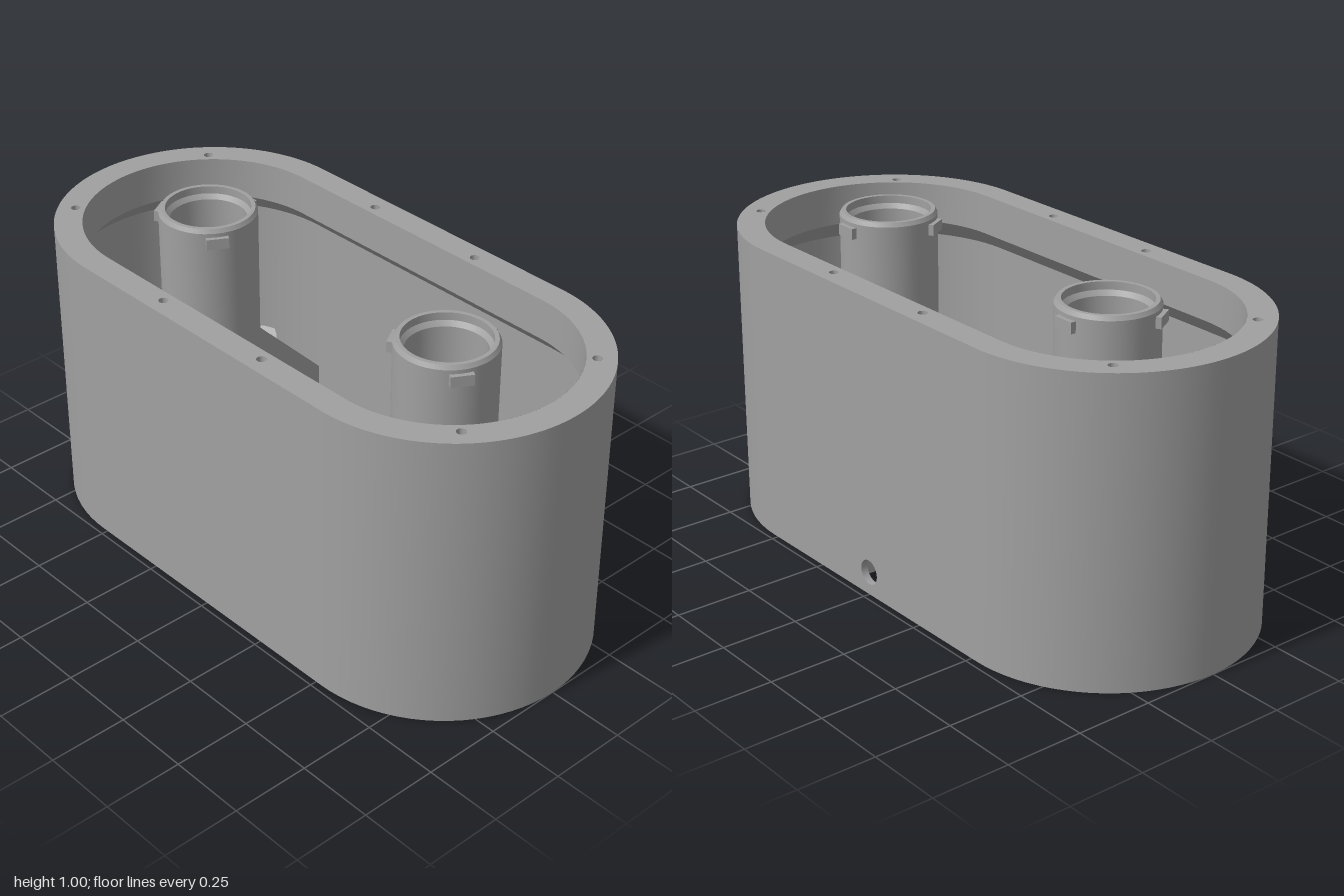
import * as THREE from 'three';
import { toCreasedNormals } from 'three/addons/utils/BufferGeometryUtils.js';

const CX = 0.522;      // centre of each rounded end
const R_OUT = 0.478;   // outer wall radius
const R_WALL = 0.455;  // inner wall radius
const R_LIP = 0.39;    // inner radius of the top rim
const TOP = 0.965;
const LIP_LOW = 0.835;
const WALL_TOP = 0.77;
const PORT_Y = 0.075;
const PORT_R = 0.04;

// Surface through rows of points; keep() may drop quads
function gridSurface(rows, keep = () => true) {
  const index = [];
  const n = rows[0].length;
  for (let r = 0; r < rows.length - 1; r++) {
    for (let i = 0; i < n - 1; i++) {
      if (!keep([rows[r][i], rows[r][i + 1], rows[r + 1][i], rows[r + 1][i + 1]])) continue;
      const a = r * n + i, b = a + n;
      index.push(a, b, a + 1, b, b + 1, a + 1);
    }
  }
  const geo = new THREE.BufferGeometry().setFromPoints(rows.flat());
  geo.setIndex(index);
  geo.computeVertexNormals();
  return geo;
}

// Stadium outline; it starts and ends at the back straight
function stadiumRing(r, y, closed) {
  const pts = [];
  for (const side of [1, -1]) {
    for (let i = 0; i <= 40; i++) {
      const a = -Math.PI / 2 + (Math.PI * i) / 40 + (side < 0 ? Math.PI : 0);
      pts.push(new THREE.Vector3(side * CX + r * Math.cos(a), y, r * Math.sin(a)));
    }
  }
  if (closed) pts.push(pts[0].clone());
  return pts;
}

function stadiumPath(path, r) {
  path.moveTo(-CX, -r);
  path.lineTo(CX, -r);
  path.absarc(CX, 0, r, -Math.PI / 2, Math.PI / 2, false);
  path.lineTo(-CX, r);
  path.absarc(-CX, 0, r, Math.PI / 2, Math.PI * 1.5, false);
  return path;
}

const lathe = (pts, seg) =>
  toCreasedNormals(new THREE.LatheGeometry(pts.map(([x, y]) => new THREE.Vector2(x, y)), seg), 0.5);

export function createModel() {
  const model = new THREE.Group();
  model.name = 'housing';
  const grey = new THREE.MeshStandardMaterial({ color: 0xa0a0a0, side: THREE.DoubleSide });
  grey.name = 'grey plastic';

  const add = (name, geo, parent = model) => {
    const mesh = new THREE.Mesh(geo, grey);
    mesh.name = name;
    parent.add(mesh);
    return mesh;
  };

  // Outer shell: strips between stadium rings [radius, height]
  const strip = (name, from, to, closed) =>
    add(name, gridSurface([stadiumRing(...from, closed), stadiumRing(...to, closed)]));
  strip('outerWall', [R_OUT, 0], [R_OUT, TOP], false);
  strip('rimInside', [R_LIP, TOP], [R_LIP, LIP_LOW], true);
  strip('rimChamfer', [R_LIP, LIP_LOW], [R_WALL, WALL_TOP], true);
  strip('innerWall', [R_WALL, WALL_TOP], [R_WALL, 0], false);
  strip('bottomEdge', [R_WALL, 0], [R_OUT, 0], true);

  // Flat back of the shell, pierced by the cable port
  for (const [name, z, h, turn] of [['backOutside', -R_OUT, TOP, Math.PI], ['backInside', -R_WALL, WALL_TOP, 0]]) {
    const shape = new THREE.Shape();
    shape.moveTo(-CX, 0);
    shape.lineTo(CX, 0);
    shape.lineTo(CX, h);
    shape.lineTo(-CX, h);
    shape.holes.push(new THREE.Path().absarc(0, PORT_Y, PORT_R, 0, Math.PI * 2, true));
    const panel = add(name, new THREE.ShapeGeometry(shape, 24));
    panel.rotation.y = turn;
    panel.position.z = z;
  }
  const port = add('cablePort', new THREE.CylinderGeometry(PORT_R, PORT_R, R_OUT - R_WALL, 32, 1, true));
  port.rotation.x = Math.PI / 2;
  port.position.set(0, PORT_Y, -(R_OUT + R_WALL) / 2);

  // Top rim with eight blind screw holes
  const rim = stadiumPath(new THREE.Shape(), R_OUT);
  rim.holes.push(stadiumPath(new THREE.Path(), R_LIP));
  for (const sx of [1, -1]) for (const sz of [1, -1]) {
    for (const [x, z] of [[0.217, 0.425], [0.845, 0.27]]) {
      rim.holes.push(new THREE.Path().absarc(sx * x, sz * z, 0.015, 0, Math.PI * 2, true));
      const hole = add('rimScrewHole', lathe([[0.015, 0.1], [0.015, 0], [0, 0]], 16));
      hole.position.set(sx * x, TOP - 0.1, sz * z);
    }
  }
  const rimTop = add('rimTop', new THREE.ShapeGeometry(rim, 40));
  rimTop.rotation.x = -Math.PI / 2;
  rimTop.position.y = TOP;

  // Shared shapes for the two ends
  const tubeGeo = lathe([[0.122, 0.015], [0.155, 0.015], [0.155, 0.987], [0.147, 1], [0.134, 1],
    [0.134, 0.975], [0.122, 0.96], [0.122, 0.015]], 48);
  const lugGeo = new THREE.BoxGeometry(0.07, 0.035, 0.024);
  const ribShape = new THREE.Shape([[0.145, 0.015], [0.46, 0.015], [0.46, 0.22], [0.145, 0.535]]
    .map(([x, y]) => new THREE.Vector2(x, y)));
  const ribGeo = new THREE.ExtrudeGeometry(ribShape, { depth: 0.02, bevelEnabled: false });
  ribGeo.translate(0, 0, -0.01);

  // Screw post whose top slopes up to the wall on its local +x side
  let postGeo = new THREE.LatheGeometry([[0, 0.14], [0.025, 0.14], [0.025, 0.015], [0.06, 0.015], [0.06, 0.2], [0, 0.2]]
    .map(([x, y]) => new THREE.Vector2(x, y)), 32);
  const pos = postGeo.attributes.position;
  for (let i = 0; i < pos.count; i++) {
    if (pos.getY(i) > 0.19) pos.setY(i, 0.26 + pos.getX(i));
  }
  postGeo = toCreasedNormals(postGeo, 0.5);

  // Arched cable channel, open underneath: outer skin then inner skin
  const profile = [];
  for (const [r, dir] of [[0.1, 1], [0.08, -1]]) {
    const skin = [[-r, 0.02]];
    for (let i = 0; i <= 20; i++) {
      const a = Math.PI - (Math.PI * i) / 20;
      skin.push([r * Math.cos(a), 0.13 + r * Math.sin(a)]);
    }
    skin.push([r, 0.02]);
    profile.push(...(dir > 0 ? skin : skin.reverse()));
  }
  profile.push(profile[0]);
  // Path stations: position and sideways direction
  const stations = [[0.39, 0, 0, 1]];
  for (let i = 0; i <= 24; i++) {
    const a = Math.PI / 2 + (Math.PI / 2) * (i / 24);
    const c = Math.cos(a), s = Math.sin(a);
    stations.push([0.3 + 0.3 * c, -0.3 + 0.3 * s, c, s]);
  }
  stations.push([0, -R_WALL, -1, 0]);

  for (const side of [1, -1]) {
    const end = new THREE.Group();
    end.name = side > 0 ? 'leftEnd' : 'rightEnd';
    end.position.x = side * CX;
    model.add(end);

    // Upright tube, its locking lugs and inner boss
    add('tube', tubeGeo, end);
    for (let k = 0; k < 3; k++) {
      const a = Math.PI + (k * Math.PI * 2) / 3;
      const lug = add('lockingLug', lugGeo, end);
      lug.position.set(0.156 * Math.sin(a), 0.957, 0.156 * Math.cos(a));
      lug.rotation.y = a;
    }
    const boss = add('tubeBoss', new THREE.CylinderGeometry(0.032, 0.032, 0.09, 24), end);
    boss.position.set(side * 0.098, 0.065, 0);

    // Three gusset ribs from tube to wall
    for (const turn of [side > 0 ? 0 : Math.PI, Math.PI / 2, -Math.PI / 2]) {
      add('gussetRib', ribGeo, end).rotation.y = turn;
    }

    // Screw posts against the curved wall
    for (const sz of [1, -1]) {
      const post = add('screwPost', postGeo, end);
      post.position.set(side * 0.19, 0, sz * 0.36);
      post.rotation.y = Math.atan2(-sz * 0.36, side * 0.19);
    }

    // Channel half, trimmed where it meets its twin at x = 0
    const rows = stations.map(([x, z, dx, dz]) => profile.map(([u, y]) =>
      new THREE.Vector3(side * Math.max(0, x + u * dx), y, z + u * dz)));
    const channel = gridSurface(rows, (q) => q.some((p) => Math.abs(p.x) > 1e-6));
    add('cableChannel', toCreasedNormals(channel, 0.6));
  }
  return model;
}
